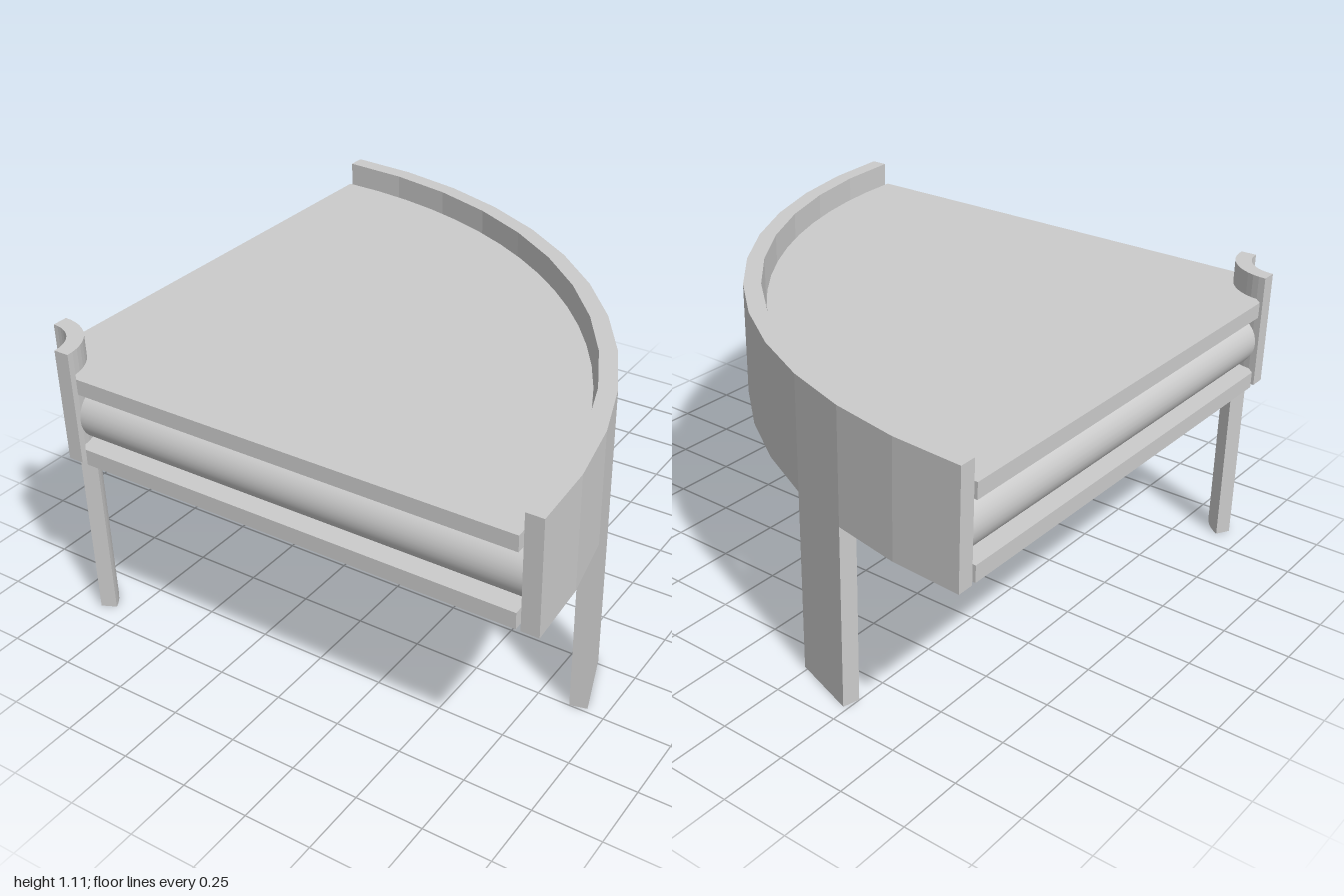
import * as THREE from 'three';

const material = new THREE.MeshStandardMaterial({ color: 0xcccccc });

// Upright ring sector around the corner pivot; angles in degrees from +x towards -z
function sector(name, rIn, rOut, a0, a1, y0, y1, outerSegs, innerSegs = outerSegs) {
  const points = [];
  const arc = (r, from, to, n) => {
    for (let i = 0; i <= n; i++) {
      const a = THREE.MathUtils.degToRad(from + ((to - from) * i) / n);
      points.push(new THREE.Vector2(r * Math.cos(a), r * Math.sin(a)));
    }
  };
  arc(rOut, a0, a1, outerSegs);
  arc(rIn, a1, a0, innerSegs);
  const geometry = new THREE.ExtrudeGeometry(new THREE.Shape(points), { depth: y1 - y0, bevelEnabled: false });
  geometry.rotateX(-Math.PI / 2);
  const mesh = new THREE.Mesh(geometry, material);
  mesh.name = name;
  mesh.position.y = y0;
  return mesh;
}

// Roller lying along +x beside the pivot
function roller(name) {
  const inner = 0.21, outer = 1.938, radius = 0.099;
  const geometry = new THREE.CylinderGeometry(radius, radius, outer - inner, 32);
  geometry.rotateZ(Math.PI / 2);
  const mesh = new THREE.Mesh(geometry, material);
  mesh.name = name;
  mesh.position.set((inner + outer) / 2, 0.858, -0.105);
  return mesh;
}

export function createModel() {
  const model = new THREE.Group();
  model.name = 'curvedConveyor';

  // Everything turns about the front left corner of the quarter circle
  const pivot = new THREE.Group();
  pivot.name = 'quarterTurn';
  pivot.position.set(-1, 0, 1);
  model.add(pivot);

  const base = 0.69, top = 1.112;

  // Side rails
  pivot.add(sector('outerRail', 1.936, 2, 0, 90, base, top, 12));
  pivot.add(sector('innerRail', 0.139, 0.198, 0, 90, base, top, 12));

  // Upper and lower belt plates, cut straight across at the inner corner
  pivot.add(sector('upperBelt', 0.222, 1.92, 0, 90, 0.968, 1.026, 20, 1));
  pivot.add(sector('lowerBelt', 0.222, 1.92, 0, 90, base, 0.75, 20, 1));

  // Rollers at both open ends
  pivot.add(roller('frontRoller'));
  const side = roller('sideRoller');
  side.rotation.y = Math.PI / 2;
  side.position.set(0.105, side.position.y, -side.position.x);
  pivot.add(side);

  // Legs continue the rails down to the floor
  pivot.add(sector('frontOuterLeg', 1.936, 2, 15, 22.5, 0, base, 1));
  pivot.add(sector('backOuterLeg', 1.936, 2, 67.5, 75, 0, base, 1));
  pivot.add(sector('innerLeg', 0.139, 0.198, 25, 61, 0, base, 5));

  return model;
}
